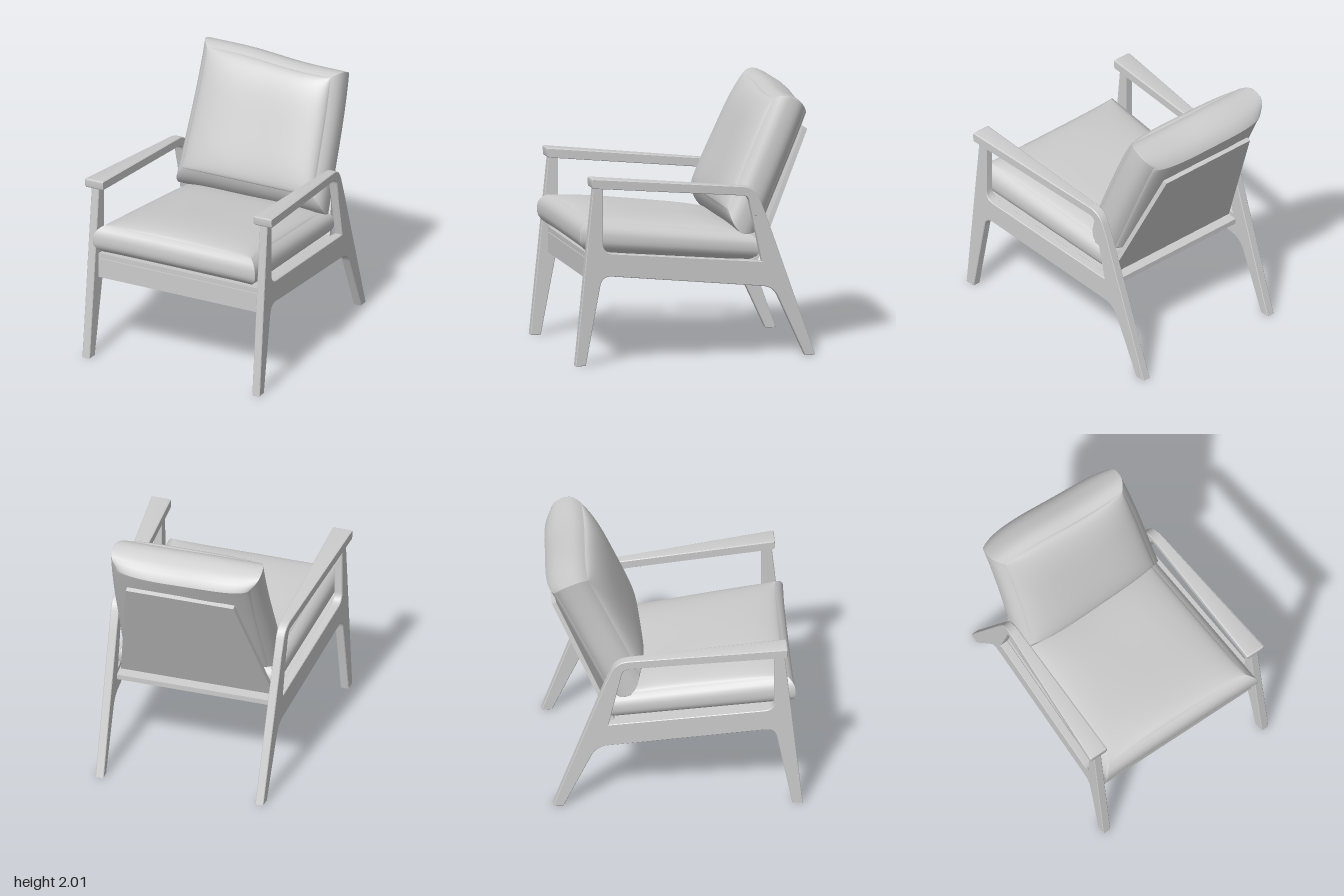
import * as THREE from 'three';
import { mergeVertices, toCreasedNormals } from 'three/addons/utils/BufferGeometryUtils.js';

const grey = new THREE.MeshStandardMaterial({ color: 0xcccccc });
const lerp = THREE.MathUtils.lerp;

// the side frames converge towards the back
const frameX = z => 0.659 + 0.049 * (z + 0.5);
const innerX = z => frameX(z) - 0.0325;

function part(name, geometry) {
  const mesh = new THREE.Mesh(geometry, grey);
  mesh.name = name;
  return mesh;
}

// move each vertex by a rule
function bend(geometry, rule) {
  const p = geometry.attributes.position;
  const v = new THREE.Vector3();
  for (let i = 0; i < p.count; i++) {
    v.fromBufferAttribute(p, i);
    rule(v);
    p.setXYZ(i, v.x, v.y, v.z);
  }
  return geometry;
}

// closed outline from [z, y, corner radius]; shape x is -z
function outline(points) {
  const shape = new THREE.Shape();
  const n = points.length;
  const at = i => new THREE.Vector2(-points[(i + n) % n][0], points[(i + n) % n][1]);
  points.forEach(([, , r = 0], i) => {
    const c = at(i);
    const a = at(i - 1).sub(c).setLength(r).add(c);
    const b = at(i + 1).sub(c).setLength(r).add(c);
    if (i === 0) shape.moveTo(a.x, a.y);
    else shape.lineTo(a.x, a.y);
    if (r) shape.quadraticCurveTo(c.x, c.y, b.x, b.y);
  });
  return shape;
}

// side profile given thickness and set along the converging frame line
function sidePiece(name, points, side, width) {
  const bevel = 0.005;
  const edge = bevel / 0.065;
  const geo = new THREE.ExtrudeGeometry(outline(points), {
    depth: 1 - 2 * edge, curveSegments: 8, bevelEnabled: true,
    bevelThickness: edge, bevelSize: bevel, bevelOffset: -bevel, bevelSegments: 1,
  });
  bend(geo, v => {
    const z = -v.x;
    v.set(side * frameX(z) + (v.z - 0.5 + edge) * width(z), v.y, z);
  });
  return part(name, toCreasedNormals(geo, 0.4));
}

// soft block: u across, v along, w through; place() turns it into position
function cushion(name, place) {
  const geo = new THREE.BoxGeometry(2, 2, 2, 32, 32, 12);
  geo.deleteAttribute('uv');
  geo.deleteAttribute('normal');
  const ease = t => Math.sin(t * Math.PI / 2);
  bend(geo, p => {
    const u = ease(p.x), v = ease(p.y), w = ease(p.z);
    const dome = (1 - u ** 4) * (1 - v ** 4);
    const inset = 0.065 * Math.abs(w) ** 3;
    place(p, u, v, w, dome, inset * u ** 8 * Math.sign(u), inset * v ** 8 * Math.sign(v));
  });
  const smooth = mergeVertices(geo, 1e-5);
  smooth.computeVertexNormals();
  return part(name, smooth);
}

export function createModel() {
  const model = new THREE.Group();
  model.name = 'armchair';

  // legs and rail in one profile, with the armrest turning down into the back leg
  const frame = [
    [0.965, 0], [0.885, 0], [0.755, 0.688, 0.08], [-0.602, 0.54, 0.09],
    [-0.85, 0], [-0.93, 0], [-0.54, 1.10], [-0.432, 1.10], [-0.51, 0.74],
    [0.75, 0.863, 0.08], [0.75, 1.385], [0.825, 1.385],
  ];
  const arm = [
    [0.845, 1.37, 0.015], [0.85, 1.445, 0.015], [-0.455, 1.315, 0.1], [-0.544, 1.09],
    [-0.434, 1.09], [-0.40, 1.25, 0.05],
  ];
  for (const [side, label] of [[1, 'left'], [-1, 'right']]) {
    model.add(sidePiece(label + 'SideFrame', frame, side, () => 0.065));
    model.add(sidePiece(label + 'Armrest', arm, side,
      z => lerp(0.066, 0.156, (z + 0.5) / 1.35)));
  }

  // front rail below the seat board
  const rail = new THREE.BoxGeometry(1.39, 0.155, 0.06);
  rail.translate(0, 0.7125, 0.80);
  model.add(part('frontRail', rail));

  // tapered, sloping seat board
  const seatY = z => 0.835 + (z - 0.83) * 0.098;
  const board = bend(new THREE.BoxGeometry(2, 0.04, 1.38), v => {
    v.z += 0.14;
    v.x *= innerX(v.z) + 0.004;
    v.y += seatY(v.z) - 0.02;
  });
  board.computeVertexNormals();
  model.add(part('seatBoard', board));

  // seat cushion: flat below, domed above, wider at the front
  model.add(cushion('seatCushion', (p, u, v, w, dome, du, dv) => {
    const z = 0.205 + 0.70 * v - dv + 0.01 * v * u ** 4;
    const y = w > 0
      ? 0.13 + w * (0.11 + 0.015 * v + 0.065 * dome)
      : 0.13 + w * (0.10 + 0.03 * dome);
    const ripple = 0.006 * Math.sin(5 * u + 1) * v * dome;
    p.set(-(u * innerX(z) - du), seatY(z) + y + ripple, z);
  }));

  // reclined back: own axes run up the slope (along) and forward (out)
  const back = new THREE.Group();
  back.name = 'backrest';
  back.position.set(0, 0.97, -0.6);
  back.rotation.x = -Math.atan(0.444);
  model.add(back);

  const panel = bend(new THREE.BoxGeometry(2, 1.07, 0.035), v => {
    v.x *= lerp(0.61, 0.43, v.y / 1.07 + 0.5);
    v.y += 0.265;
    v.z += 0.018;
  });
  panel.computeVertexNormals();
  back.add(part('backPanel', panel));

  // back cushion with a slightly uneven top edge and a lower edge that rises forward
  back.add(cushion('backCushion', (p, u, v, w, dome, du, dv) => {
    const x = u * lerp(0.63, 0.60, (v + 1) / 2) - du;
    const top = Math.max(0, v);
    const bottom = Math.max(0, -v);
    const out = w > 0
      ? 0.23 + w * (0.135 + 0.09 * dome + 0.04 * bottom ** 4 * (1 - u ** 4))
      : 0.23 + w * (0.13 + 0.065 * (1 - u ** 4));
    p.set(x - 0.018 * top ** 2,
      0.445 + 0.555 * v - dv - top ** 3 * (0.02 * x / 0.6 + 0.006 * Math.sin(7 * x))
        + 0.06 * bottom ** 3 * Math.max(0, w),
      out + 0.008 * Math.sin(4 * x) * v);
  }));

  return model;
}
